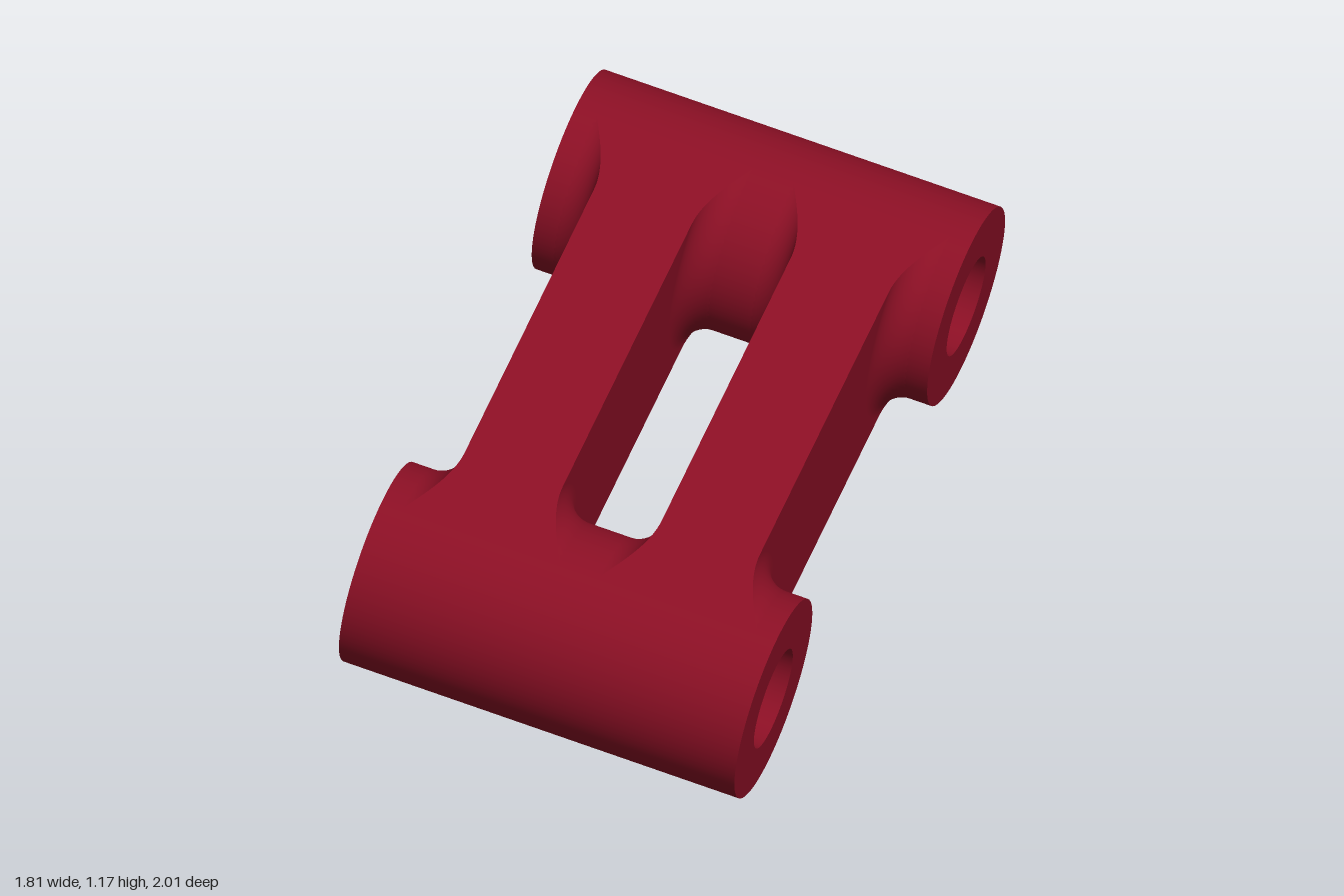
import * as THREE from 'three';
import { mergeGeometries } from 'three/addons/utils/BufferGeometryUtils.js';

const R = 0.264;        // barrel radius
const BORE = 0.132;     // hole radius
const HALF = 0.532;     // half barrel length
const SPAN = 1.316;     // distance between barrel axes
const LEG_X = 0.265;    // leg centre offset
const LEG_HALF = 0.132; // half leg thickness
const FILLET = 0.078;

// Smooth grid surface; the front faces du x dv
function grid(nu, nv, point) {
  const pos = [], index = [];
  for (let i = 0; i <= nu; i++)
    for (let j = 0; j <= nv; j++) pos.push(...point(i / nu, j / nv));
  for (let i = 0; i < nu; i++)
    for (let j = 0; j < nv; j++) {
      const a = i * (nv + 1) + j, b = a + nv + 1;
      index.push(a, b, b + 1, a, b + 1, a + 1);
    }
  const g = new THREE.BufferGeometry();
  g.setAttribute('position', new THREE.Float32BufferAttribute(pos, 3));
  g.setIndex(index);
  g.computeVertexNormals();
  return g;
}

// Hollow barrel: outside, end rings and bore, each with its own normals
function barrelGeometry() {
  const ring = [[R, -HALF], [R, HALF], [BORE, HALF], [BORE, -HALF]];
  const parts = ring.map((p, i) => new THREE.LatheGeometry(
    [new THREE.Vector2(...p), new THREE.Vector2(...ring[(i + 1) % 4])], 96));
  return mergeGeometries(parts).rotateZ(-Math.PI / 2);
}

// Leg as high as the barrels, flaring into them with fillets that run around the barrel axes
function legGeometry() {
  const N = 14, cols = 2 * N + 1;
  const column = (v, y) => {
    const k = Math.round(v * cols), back = k <= N;
    const phi = (back ? k : cols - k) / N * Math.PI / 2;
    const rho = R + FILLET * (1 - Math.cos(phi));
    const z = SPAN / 2 - Math.sqrt(Math.max(0, rho * rho - y * y));
    return { z: back ? -z : z, w: LEG_HALF + FILLET * (1 - Math.sin(phi)) };
  };
  const faces = [];
  for (const s of [1, -1]) {
    // side wall
    faces.push(grid(32, cols, (u, v) => {
      const y = s * R * Math.sin((u - 0.5) * Math.PI);
      const c = column(v, y);
      return [s * c.w, y, c.z];
    }));
    // top or bottom face
    faces.push(grid(cols, 1, (u, v) => {
      const c = column(u, R);
      return [s * (2 * v - 1) * c.w, s * R, c.z];
    }));
  }
  return mergeGeometries(faces);
}

export function createModel() {
  const red = new THREE.MeshStandardMaterial({ color: 0x8a0f24 });
  red.name = 'dark red';

  const link = new THREE.Group();
  link.name = 'link';
  const add = (name, geometry, x, z) => {
    const m = new THREE.Mesh(geometry, red);
    m.name = name;
    m.position.set(x, 0, z);
    link.add(m);
  };
  const barrel = barrelGeometry(), leg = legGeometry();
  add('frontBarrel', barrel, 0, SPAN / 2);
  add('backBarrel', barrel, 0, -SPAN / 2);
  add('leftLeg', leg, LEG_X, 0);
  add('rightLeg', leg, -LEG_X, 0);

  // Tilted pose
  const ax = new THREE.Vector3(0.881, -0.181, 0.436).normalize();
  const az = new THREE.Vector3(-0.472, -0.347, 0.811);
  const ay = az.clone().cross(ax).normalize();
  az.crossVectors(ax, ay);
  link.quaternion.setFromRotationMatrix(new THREE.Matrix4().makeBasis(ax, ay, az));
  link.position.y = 0.5875;

  const model = new THREE.Group();
  model.name = 'doubleBarrelLink';
  model.add(link);
  return model;
}
